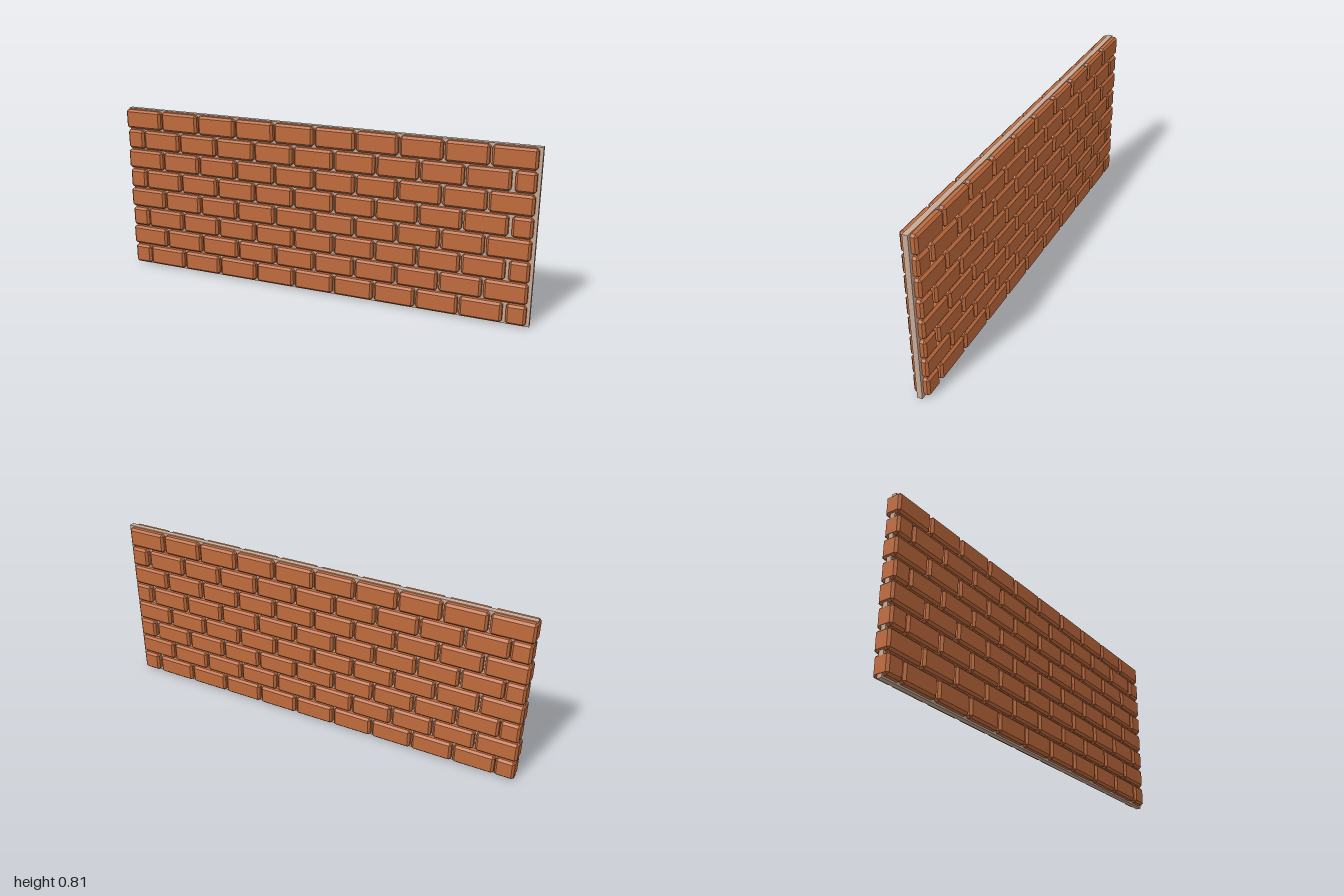
import * as THREE from 'three';
import { ConvexGeometry } from 'three/addons/geometries/ConvexGeometry.js';

// Box with every edge chamfered by c, centred on the origin
function chamferedBox(w, h, d, c) {
  const points = [];
  for (const sx of [-1, 1]) for (const sy of [-1, 1]) for (const sz of [-1, 1]) {
    const x = w / 2, y = h / 2, z = d / 2;
    points.push(
      new THREE.Vector3(sx * x, sy * (y - c), sz * (z - c)),
      new THREE.Vector3(sx * (x - c), sy * y, sz * (z - c)),
      new THREE.Vector3(sx * (x - c), sy * (y - c), sz * z)
    );
  }
  return new ConvexGeometry(points);
}

export function createModel() {
  const wall = new THREE.Group();
  wall.name = 'brickWall';

  const brickMaterial = new THREE.MeshStandardMaterial({ color: 0xc06b3d });
  brickMaterial.name = 'terracotta brick';
  const mortarMaterial = new THREE.MeshStandardMaterial({ color: 0xc8aa96 });
  mortarMaterial.name = 'pale mortar';

  // Mortar core, standing slightly proud of the bricks at the top and one end
  const left = -0.995, right = 1, top = 0.805;
  const mortar = new THREE.Mesh(new THREE.BoxGeometry(right - left, top, 0.024), mortarMaterial);
  mortar.name = 'mortar';
  mortar.position.set((left + right) / 2, top / 2, 0);
  wall.add(mortar);

  // Bricks run through the full thickness of the wall
  const height = 0.092, depth = 0.077, chamfer = 0.01;
  const fullLength = 0.19, halfLength = 0.088, pitch = 0.1995;
  const fullBrick = chamferedBox(fullLength, height, depth, chamfer);
  const halfBrick = chamferedBox(halfLength, height, depth, chamfer);

  for (let row = 0; row < 8; row++) {
    const course = new THREE.Group();
    course.name = `course${row + 1}`;
    course.position.y = 0.0085 + height / 2 + row * 0.1;
    const addBrick = (name, geometry, x) => {
      const brick = new THREE.Mesh(geometry, brickMaterial);
      brick.name = name;
      brick.position.x = x;
      course.add(brick);
    };

    // Alternate courses are offset and closed with half bricks
    const offset = row % 2 === 0;
    const count = offset ? 9 : 10;
    const start = offset ? -0.904 : -1;
    for (let i = 0; i < count; i++) addBrick('brick', fullBrick, start + fullLength / 2 + i * pitch);
    if (offset) {
      addBrick('halfBrick', halfBrick, -0.996 + halfLength / 2);
      addBrick('halfBrick', halfBrick, 0.986 - halfLength / 2);
    }
    wall.add(course);
  }
  return wall;
}
